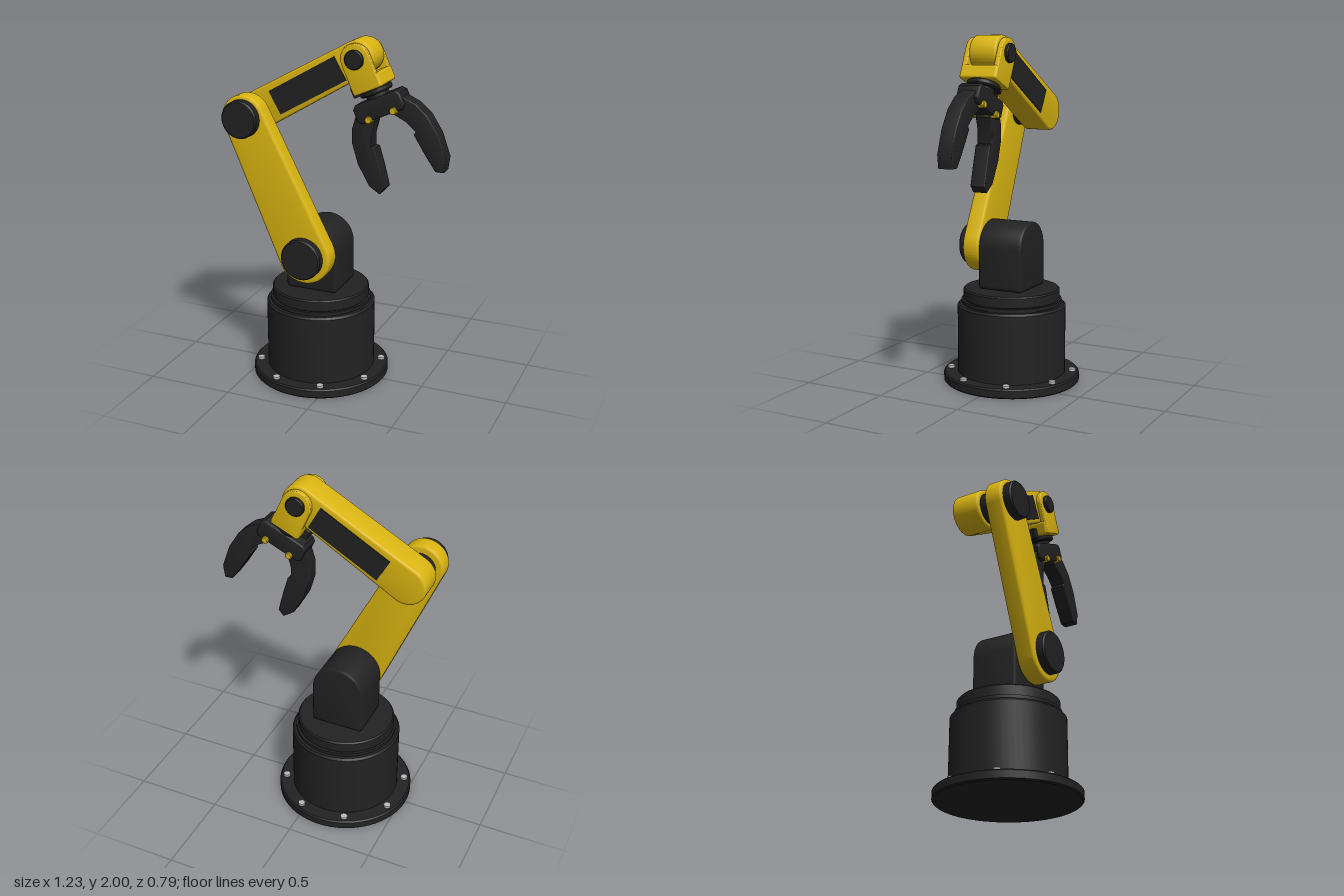
import * as THREE from 'three';
import { toCreasedNormals } from 'three/addons/utils/BufferGeometryUtils.js';
import { RoundedBoxGeometry } from 'three/addons/geometries/RoundedBoxGeometry.js';

const paint = (name, color) => {
  const m = new THREE.MeshStandardMaterial({ color });
  m.name = name;
  return m;
};

export function createModel() {
  const yellow = paint('yellow paint', 0xdab511);
  const black = paint('black housing', 0x222222);
  const steel = paint('bolt steel', 0xbdbdbd);
  const model = new THREE.Group();
  model.name = 'robotArm';

  const add = (parent, name, geometry, material, x = 0, y = 0, z = 0) => {
    const mesh = new THREE.Mesh(geometry, material);
    mesh.name = name;
    mesh.position.set(x, y, z);
    parent.add(mesh);
    return mesh;
  };

  // Bevelled plate centred on z = 0; the bevel stays inside the outline
  const plate = (shape, thickness, bevel) => toCreasedNormals(
    new THREE.ExtrudeGeometry(shape, {
      depth: thickness - 2 * bevel, bevelThickness: bevel, bevelSize: bevel,
      bevelOffset: -bevel, bevelSegments: 3, curveSegments: 32,
    }).translate(0, 0, bevel - thickness / 2), 0.6);

  // Solid of revolution with small edge bevels, from [radius, height] points
  const turned = (points) => toCreasedNormals(
    new THREE.LatheGeometry(points.map(([r, y]) => new THREE.Vector2(r, y)), 64), 0.6);
  const disc = (r, h, b = 0.008) => turned(
    [[0, -h / 2], [r - b, -h / 2], [r, b - h / 2], [r, h / 2 - b], [r - b, h / 2], [0, h / 2]]);
  const zDisc = (r, h, b) => disc(r, h, b).rotateX(Math.PI / 2);

  // Tapered link between two round ends, starting at the origin along +x
  const linkShape = (r1, r2, length) => {
    const phi = Math.acos((r1 - r2) / length);
    const s = new THREE.Shape();
    s.absarc(0, 0, r1, phi, 2 * Math.PI - phi, false);
    s.absarc(length, 0, r2, -phi, phi, false);
    return s;
  };

  // Upright lug: round top about the origin, straight sides down to y = -drop
  const lugShape = (r, drop, c) => {
    const s = new THREE.Shape();
    s.absarc(0, 0, r, 0, Math.PI, false);
    s.lineTo(-r, c - drop);
    s.quadraticCurveTo(-r, -drop, c - r, -drop);
    s.lineTo(r - c, -drop);
    s.quadraticCurveTo(r, -drop, r, c - drop);
    return s;
  };

  const shoulder = new THREE.Vector2(-0.135, 0.79);
  const elbow = new THREE.Vector2(-0.493, 1.555);
  const wrist = new THREE.Vector2(0.117, 1.903);

  // Base: flange, drum and turntable
  const base = new THREE.Group();
  base.name = 'base';
  base.position.x = shoulder.x;
  model.add(base);
  add(base, 'baseFlange', disc(0.397, 0.056), black, 0, 0.028, 0);
  add(base, 'baseDrum', turned([[0, 0.05], [0.315, 0.05], [0.315, 0.45], [0.305, 0.462],
    [0.285, 0.462], [0.285, 0.467], [0.292, 0.467], [0.292, 0.486], [0, 0.486]]), black);
  add(base, 'turntable', disc(0.28, 0.07), black, 0, 0.517, 0);
  for (let i = 0; i < 8; i++) {
    const a = (i + 0.5) * Math.PI / 4;
    add(base, 'flangeBolt', new THREE.CylinderGeometry(0.02, 0.02, 0.02, 16), steel,
      0.357 * Math.cos(a), 0.06, 0.357 * Math.sin(a));
  }

  // Shoulder housing
  add(model, 'shoulderHousing', plate(lugShape(0.154, 0.235, 0.025), 0.27, 0.012), black,
    shoulder.x, shoulder.y, 0);

  // Lower arm with its joint caps
  const lower = elbow.clone().sub(shoulder);
  add(model, 'lowerArm', plate(linkShape(0.156, 0.127, lower.length()), 0.104, 0.014), yellow,
    shoulder.x, shoulder.y, 0.188).rotation.z = lower.angle();
  add(model, 'shoulderCap', zDisc(0.118, 0.06), black, shoulder.x, shoulder.y, 0.257);
  add(model, 'elbowCap', zDisc(0.106, 0.06), black, elbow.x, elbow.y, 0.257);
  add(model, 'elbowShaft', zDisc(0.086, 0.1), black, elbow.x, elbow.y, 0.105);

  // Upper arm with a dark inset panel on each side
  const upper = wrist.clone().sub(elbow);
  const upperArm = new THREE.Group();
  upperArm.name = 'upperArm';
  upperArm.position.set(elbow.x, elbow.y, 0);
  upperArm.rotation.z = upper.angle();
  model.add(upperArm);
  add(upperArm, 'upperArmBody', plate(linkShape(0.111, 0.097, upper.length()), 0.166, 0.014), yellow);
  for (const side of [-1, 1]) {
    add(upperArm, 'sidePanel', new THREE.BoxGeometry(0.452, 0.145, 0.008), black,
      0.366, -0.005, side * 0.084);
  }

  // Wrist and gripper, built hanging down from the wrist pivot
  const tool = new THREE.Group();
  tool.name = 'wristAndGripper';
  tool.position.set(wrist.x, wrist.y, 0);
  tool.rotation.z = 24.5 * Math.PI / 180;
  model.add(tool);

  for (const side of [-1, 1]) {
    add(tool, 'wristForkPlate', plate(lugShape(0.084, 0.18, 0.012), 0.03, 0.007), yellow,
      0, 0, side * 0.098);
    add(tool, 'wristCap', zDisc(0.053, 0.03, 0.006), black, 0, 0, side * 0.118);
  }
  add(tool, 'wristForkBridge', new RoundedBoxGeometry(0.178, 0.078, 0.224, 3, 0.014), yellow,
    0, -0.143, 0);
  add(tool, 'wristSensor', new RoundedBoxGeometry(0.04, 0.06, 0.1, 2, 0.006), black,
    -0.1, -0.165, 0);
  add(tool, 'toolFlange', disc(0.092, 0.034), black, 0, -0.195, 0);
  add(tool, 'toolNeck', new THREE.CylinderGeometry(0.065, 0.065, 0.05, 32), black, 0, -0.225, 0);

  const polygon = (points) => new THREE.Shape(points.map(([x, y]) => new THREE.Vector2(x, y)));
  add(tool, 'palm', plate(polygon([[-0.125, -0.23], [-0.145, -0.25], [-0.145, -0.318],
    [-0.125, -0.338], [0.125, -0.338], [0.145, -0.318], [0.145, -0.25], [0.125, -0.23]]),
  0.136, 0.01), black);

  // Mirrored curved fingers with stepped grip pads and pivot pins
  const fingerOutline = [[0.06, -0.28], [0.06, -0.35], [0.11, -0.412], [0.139, -0.475],
    [0.122, -0.488], [0.137, -0.6], [0.158, -0.715], [0.2, -0.735], [0.24, -0.672],
    [0.252, -0.535], [0.236, -0.42], [0.2, -0.34], [0.13, -0.26]];
  for (const side of [-1, 1]) {
    const finger = new THREE.Group();
    finger.name = side > 0 ? 'leftFinger' : 'rightFinger';
    tool.add(finger);
    add(finger, 'fingerBody',
      plate(polygon(fingerOutline.map(([x, y]) => [side * x, y])), 0.09, 0.006), black);
    add(finger, 'fingerPivot', zDisc(0.02, 0.164, 0.004), yellow, side * 0.077, -0.328, 0);
  }
  return model;
}
